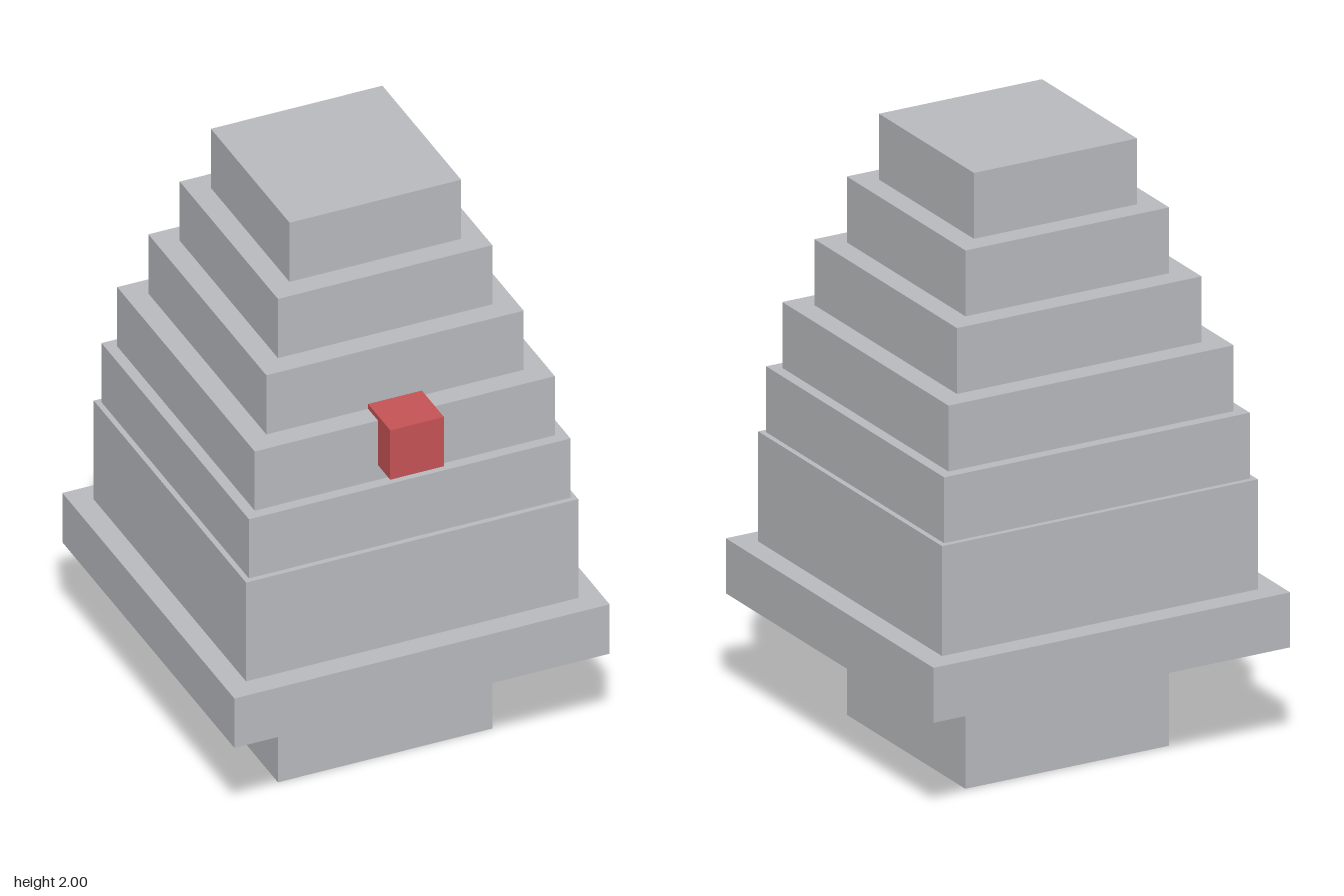
import * as THREE from 'three';

export function createModel() {
  const model = new THREE.Group();
  model.name = 'steppedTower';

  const stone = new THREE.MeshStandardMaterial({ color: 0xbbbcc0 });
  stone.name = 'pale grey';
  const red = new THREE.MeshStandardMaterial({ color: 0xc85456 });
  red.name = 'red';

  // Square tiers from the ground up: name, width, height
  const tiers = [
    ['base', 0.727, 0.364],
    ['brim', 1.273, 0.182],
    ['lowerBody', 1.127, 0.364],
    ['tier1', 1.091, 0.218],
    ['tier2', 1.018, 0.218],
    ['tier3', 0.873, 0.218],
    ['tier4', 0.727, 0.218],
    ['topTier', 0.582, 0.218],
  ];
  let y = 0;
  for (const [name, width, height] of tiers) {
    const tier = new THREE.Mesh(new THREE.BoxGeometry(width, height, width), stone);
    tier.name = name;
    tier.position.y = y + height / 2;
    model.add(tier);
    y += height;
  }

  // Small cube set into the front
  const cube = new THREE.Mesh(new THREE.BoxGeometry(0.182, 0.182, 0.182), red);
  cube.name = 'frontCube';
  cube.position.set(0, 1.273, 0.509);
  model.add(cube);

  return model;
}
